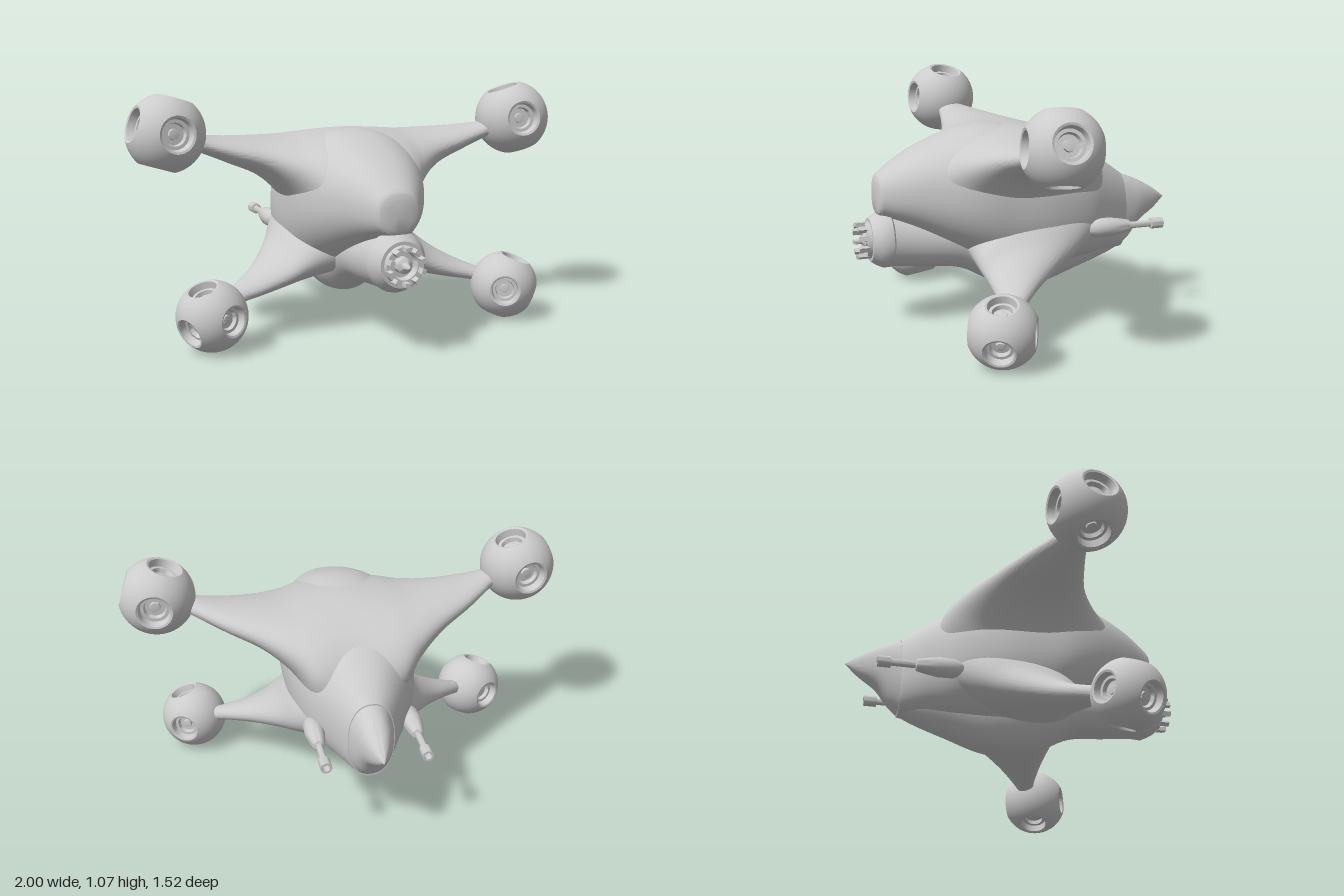
import * as THREE from 'three';
import { toCreasedNormals, mergeGeometries } from 'three/addons/utils/BufferGeometryUtils.js';
import { ParametricGeometry } from 'three/addons/geometries/ParametricGeometry.js';

const material = new THREE.MeshStandardMaterial({ color: 0xcccccc });
const V = (x, y, z) => new THREE.Vector3(x, y, z);

function add(parent, name, geometry) {
  const mesh = new THREE.Mesh(geometry, material);
  mesh.name = name;
  parent.add(mesh);
  return mesh;
}

// Skin over superellipse sections. place(p, u, v) puts each point in space.
// Section: [position, side min, side max, bottom, top]
function loft(sections, place, power = 2) {
  const around = 64, steps = (sections.length - 1) * 7;
  const bend = (t) => Math.sign(t) * Math.abs(t) ** (2 / power);
  const lines = [];
  for (let j = 0; j < around; j++) {
    const a = (j / around) * Math.PI * 2;
    const points = sections.map(([p, u0, u1, v0, v1]) => place(p,
      (u0 + u1) / 2 + (u1 - u0) / 2 * bend(Math.cos(a)),
      (v0 + v1) / 2 + (v1 - v0) / 2 * bend(Math.sin(a))));
    lines.push(new THREE.CatmullRomCurve3(points).getPoints(steps));
  }
  const centre = ([p, u0, u1, v0, v1]) => place(p, (u0 + u1) / 2, (v0 + v1) / 2);
  const first = centre(sections[0]), last = centre(sections[sections.length - 1]);
  lines.forEach((line) => { line.unshift(first); line.push(last); });
  const position = [], index = [], rows = steps + 3;
  for (let i = 0; i < rows; i++) {
    for (let j = 0; j < around; j++) {
      position.push(...lines[j][i].toArray());
      if (i === rows - 1) continue;
      const a = i * around + j, b = i * around + (j + 1) % around;
      const c = a + around, d = b + around;
      index.push(a, b, c, b, d, c);
    }
  }
  const geometry = new THREE.BufferGeometry();
  geometry.setAttribute('position', new THREE.Float32BufferAttribute(position, 3));
  geometry.setIndex(index);
  return toCreasedNormals(geometry, 0.7);
}

const lathe = (profile, sides = 32) => toCreasedNormals(
  new THREE.LatheGeometry(profile.map(([r, y]) => new THREE.Vector2(r, y)), sides), 0.6);

// Symmetric fuselage section from half width, bottom and top
const hullRow = ([z, w, lo, hi]) => [z, -w, w, lo, hi];
const alongZ = (p, u, v) => V(u, v, p);

// One sixth of a ball, with a round opening in its middle
function ballPatch(R, opening) {
  const from = V(), to = V();
  return new ParametricGeometry((u, v, target) => {
    const a = u * Math.PI * 2, c = Math.cos(a), s = Math.sin(a);
    const m = Math.max(Math.abs(c), Math.abs(s));
    from.set(c * Math.sin(opening), Math.cos(opening), s * Math.sin(opening));
    to.set(c / m, 1, s / m).normalize();
    target.copy(from).lerp(to, v).normalize().multiplyScalar(R);
  }, 48, 8);
}

// Ball with five recessed thrusters; the sixth side meets the arm
function thrusterPod(R, rim, s) {
  const pod = new THREE.Group();
  const y = Math.sqrt(R * R - rim * rim);
  const shell = ballPatch(R, Math.asin(rim / R));
  const nozzle = lathe([
    [rim, y], [rim * 0.88, y - R * 0.02], [rim * 0.8, y - R * 0.22], [rim * 0.62, y - R * 0.22],
    [rim * 0.56, y - R * 0.34], [rim * 0.3, y - R * 0.34], [rim * 0.28, y - R * 0.27],
    [0, y - R * 0.25]]);
  const dirs = [V(s, 0, 0), V(0, 1, 0), V(0, -1, 0), V(0, 0, 1), V(0, 0, -1), V(-s, 0, 0)];
  dirs.forEach((dir, i) => {
    const turn = new THREE.Quaternion().setFromUnitVectors(V(0, 1, 0), dir);
    const closed = i === 5;
    add(pod, 'podShell', closed ? ballPatch(R, 0.01) : shell).quaternion.copy(turn);
    if (!closed) add(pod, 'thrusterNozzle', nozzle).quaternion.copy(turn);
  });
  return pod;
}

export function createModel() {
  const model = new THREE.Group();
  model.name = 'spacecraft';

  // Main hull
  add(model, 'hull', loft([
    [-0.52, 0.103, 0.262, 0.626], [-0.4, 0.175, 0.255, 0.71], [-0.28, 0.243, 0.24, 0.775],
    [-0.1, 0.29, 0.22, 0.85], [0.1, 0.298, 0.24, 0.895], [0.22, 0.293, 0.3, 0.89],
    [0.33, 0.265, 0.36, 0.86], [0.5, 0.185, 0.45, 0.79], [0.62, 0.112, 0.5, 0.715],
    [0.65, 0.09, 0.51, 0.69], [0.66, 0.06, 0.525, 0.665],
  ].map(hullRow), alongZ, 2.3));

  // Pointed nose cone
  add(model, 'noseCone', loft([
    [-0.76, 0.002, 0.486, 0.49], [-0.7, 0.037, 0.435, 0.535], [-0.62, 0.07, 0.38, 0.58],
    [-0.56, 0.088, 0.305, 0.606], [-0.51, 0.103, 0.262, 0.623],
  ].map(hullRow), alongZ, 2.3));

  // Keel running forward into the engine housing
  add(model, 'keel', loft([
    [-0.52, 0.05, 0.264, 0.4], [-0.45, 0.085, 0.234, 0.46], [-0.3, 0.12, 0.183, 0.5],
    [-0.1, 0.15, 0.125, 0.52], [0.1, 0.15, 0.148, 0.52], [0.28, 0.13, 0.235, 0.5],
    [0.45, 0.12, 0.255, 0.5], [0.61, 0.118, 0.273, 0.515],
  ].map(hullRow), alongZ));

  // Engine with a toothed crown
  const engine = new THREE.Group();
  engine.name = 'engine';
  engine.position.set(0, 0.397, 0);
  model.add(engine);
  add(engine, 'engineRing', lathe([
    [0.112, 0.59], [0.128, 0.602], [0.129, 0.635], [0.117, 0.66], [0.098, 0.69], [0.083, 0.69],
    [0.08, 0.71], [0.06, 0.71], [0.055, 0.675], [0.035, 0.675], [0.033, 0.71], [0.018, 0.72],
    [0.01, 0.75], [0, 0.76]], 40).rotateX(Math.PI / 2));
  const teeth = [];
  for (let i = 0; i < 10; i++) {
    teeth.push(new THREE.BoxGeometry(0.022, 0.018, 0.045)
      .translate(0, 0.074, 0.725).rotateZ((i / 10) * Math.PI * 2));
  }
  add(engine, 'crownTeeth', mergeGeometries(teeth));

  // Wing sections from tip to middle: [x, z back, z front, bottom, top]
  const upperWing = [
    [0.73, 0.06, 0.16, 0.835, 0.905], [0.67, 0.01, 0.165, 0.812, 0.892],
    [0.55, -0.085, 0.19, 0.76, 0.878], [0.4, -0.187, 0.237, 0.69, 0.87],
    [0.28, -0.28, 0.325, 0.58, 0.87], [0.18, -0.36, 0.44, 0.4, 0.88], [0, -0.37, 0.5, 0.3, 0.892]];
  const lowerWing = [
    [0.64, 0.215, 0.285, 0.155, 0.225], [0.57, 0.155, 0.262, 0.172, 0.242],
    [0.45, 0.04, 0.25, 0.183, 0.288], [0.34, -0.11, 0.252, 0.193, 0.36],
    [0.26, -0.25, 0.265, 0.197, 0.45], [0.16, -0.38, 0.27, 0.2, 0.52], [0, -0.42, 0.27, 0.21, 0.55]];
  const levels = [
    { name: 'upper', wing: upperWing, tilt: 0, at: [0.832, 0.908, 0.11], R: 0.17, rim: 0.08,
      up: [-0.3, 0.94, -0.1], front: [-0.1, -0.03, 0.99] },
    { name: 'lower', wing: lowerWing, tilt: 0.18, at: [0.7, 0.153, 0.305], R: 0.153, rim: 0.069,
      up: [0.33, 0.93, 0.15], front: [-0.45, 0, 0.89] },
  ];
  for (const { name, wing, tilt, at, R, rim, up, front } of levels) {
    // One span from the left tip to the right tip, rising towards the nose by the tilt
    const otherHalf = wing.slice(0, -1).reverse().map(([x, ...rest]) => [-x, ...rest]);
    add(model, `${name}Arms`, loft([...wing, ...otherHalf],
      (p, u, v) => V(p, v + tilt * (0.2 - u), u)));
    for (const s of [1, -1]) {
      // Pod frame, mirrored from side to side
      const y = V(s * up[0], up[1], up[2]).normalize();
      const x = y.clone().cross(V(s * front[0], front[1], front[2])).normalize();
      const z = x.clone().cross(y);
      const pod = thrusterPod(R, rim, s);
      pod.name = `${s > 0 ? 'left' : 'right'}${name === 'upper' ? 'Upper' : 'Lower'}Pod`;
      pod.position.set(s * at[0], at[1], at[2]);
      pod.quaternion.setFromRotationMatrix(new THREE.Matrix4().makeBasis(x, y, z));
      model.add(pod);
    }
  }

  // Guns beside the nose
  const gun = lathe([
    [0, 0.24], [0.025, 0.265], [0.042, 0.31], [0.044, 0.38], [0.034, 0.44], [0.026, 0.475],
    [0.015, 0.48], [0.015, 0.585], [0.025, 0.587], [0.025, 0.645], [0.016, 0.645], [0.014, 0.61],
    [0, 0.61]], 24).rotateX(-Math.PI / 2);
  for (const s of [1, -1]) {
    add(model, s > 0 ? 'leftGun' : 'rightGun', gun).position.set(s * 0.219, 0.416, 0);
  }
  return model;
}
